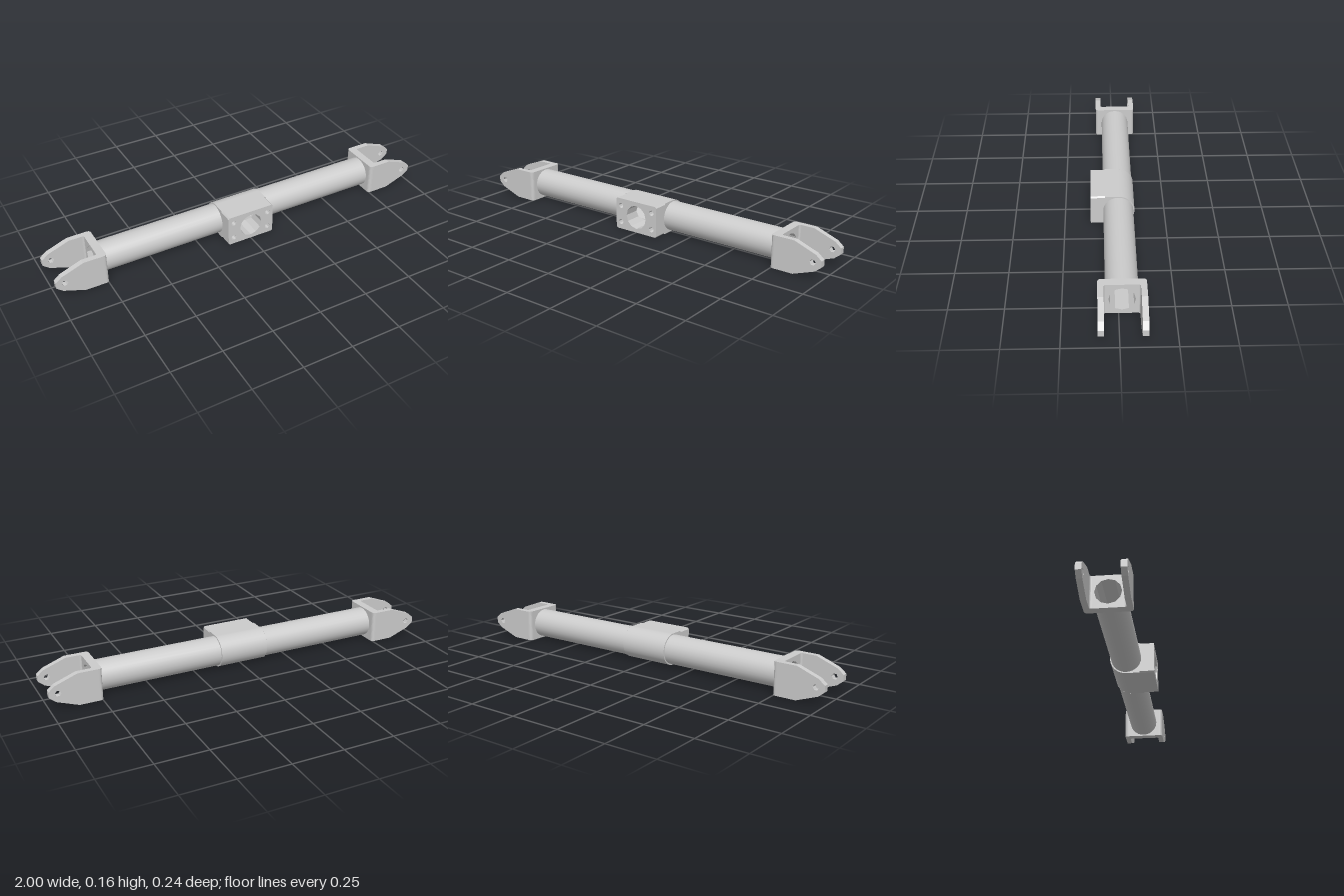
import * as THREE from 'three';

const BORE = 0.06, TUBE = 0.074, H = 0.08, WEB = 0.745, SEG = 12;

const flat = new THREE.MeshStandardMaterial({ color: 0xcccccc, flatShading: true });
const shell = new THREE.MeshStandardMaterial({ color: 0xcccccc, flatShading: true, side: THREE.DoubleSide });
const smooth = new THREE.MeshStandardMaterial({ color: 0xcccccc });

const polygon = (pts) => new THREE.Shape(pts.map(([x, y]) => new THREE.Vector2(x, y)));
const extrude = (shape, depth) =>
  new THREE.ExtrudeGeometry(shape, { depth, bevelEnabled: false, curveSegments: 5 });

// Regular polygonal hole
function hole(r, n, cx = 0, cy = 0) {
  const pts = [];
  for (let i = 0; i < n; i++) {
    const a = (i / n) * Math.PI * 2;
    pts.push(new THREE.Vector2(cx + r * Math.cos(a), cy + r * Math.sin(a)));
  }
  return new THREE.Path(pts);
}

function add(parent, name, geometry, material = flat) {
  const mesh = new THREE.Mesh(geometry, material);
  mesh.name = name;
  parent.add(mesh);
  return mesh;
}

// Moves the two rims of an open cylinder by a rule
function moveRims(geometry, rule) {
  const p = geometry.attributes.position;
  for (let i = 0; i < p.count; i++) {
    p.setXYZ(i, ...rule(p.getX(i), p.getY(i) > 0, p.getZ(i)));
  }
  geometry.computeVertexNormals();
  return geometry;
}

// One half: tube, bore and fork, pointing to +x
function makeHalf(name) {
  const half = new THREE.Group();
  half.name = name;

  const length = WEB - 0.12 + 0.01;
  add(half, 'tube', new THREE.CylinderGeometry(TUBE, TUBE, length, 28, 1, true)
    .rotateZ(-Math.PI / 2).translate(0.12 + length / 2, 0, 0), smooth);

  // The bore starts where the front port cuts into it
  add(half, 'bore', moveRims(new THREE.CylinderGeometry(BORE, BORE, 1, SEG, 1, true),
    (x, far, z) => [far ? WEB : Math.max(0, z), x, z]), shell);

  // Fork web with the bore opening
  const web = polygon([[-0.07, -H], [0.07, -H], [0.07, H], [-0.07, H]]);
  web.holes.push(hole(BORE, SEG));
  add(half, 'forkWeb', extrude(web, 0.041).rotateY(Math.PI / 2).translate(WEB, 0, 0));

  for (const s of [-1, 1]) {
    // Rounded corner between web and arm
    const corner = new THREE.Shape();
    corner.moveTo(WEB, s * 0.07);
    corner.lineTo(WEB, s * 0.089);
    corner.quadraticCurveTo(WEB, s * 0.107, WEB + 0.018, s * 0.107);
    corner.lineTo(0.8, s * 0.107);
    corner.lineTo(0.8, s * 0.08);
    corner.lineTo(0.796, s * 0.08);
    corner.quadraticCurveTo(0.786, s * 0.08, 0.786, s * 0.07);
    add(half, 'forkCorner', extrude(corner, 2 * H).rotateX(Math.PI / 2).translate(0, H, 0));

    // Tapered arm with pin hole
    const arm = polygon([[0.8, -H], [0.862, -H], [0.97, -0.04], [1, -0.015],
      [1, 0.015], [0.97, 0.04], [0.862, H], [0.8, H]]);
    arm.holes.push(hole(0.015, 6, 0.957, 0));
    add(half, 'forkArm', extrude(arm, 0.027).translate(0, 0, s > 0 ? 0.08 : -0.107));
  }
  return half;
}

// Central collar: rounded back, square mounting block in front
function makeCollar() {
  const collar = new THREE.Group();
  collar.name = 'collar';
  const w = 0.125, c = 0.007, front = 0.137, back = 0.065;

  const face = polygon([[-w + c, -H], [w - c, -H], [w, -H + c], [w, H - c],
    [w - c, H], [-w + c, H], [-w, H - c], [-w, -H + c]]);
  face.holes.push(hole(BORE, SEG));
  for (const x of [-0.095, 0.095]) {
    for (const y of [-0.043, 0.043]) {
      face.holes.push(hole(0.014, 8, x, y));
      add(collar, 'boltHoleFloor', new THREE.CircleGeometry(0.016, 8).translate(x, y, back + 0.005));
    }
  }
  add(collar, 'mountingBlock', extrude(face, front - back).translate(0, 0, back));

  // Port wall continuing down to the bore
  add(collar, 'portWall', moveRims(new THREE.CylinderGeometry(BORE, BORE, 1, SEG, 1, true),
    (x, far, z) => [x, z, far ? back : Math.abs(x)]), shell);

  // Rounded back and flat top and bottom
  add(collar, 'collarBack', new THREE.CylinderGeometry(H, H, 2 * w, 16, 1, true, Math.PI / 2, Math.PI)
    .rotateZ(Math.PI / 2), smooth);
  for (const s of [-1, 1]) {
    add(collar, s > 0 ? 'collarTop' : 'collarBottom',
      new THREE.PlaneGeometry(2 * w, back).rotateX(-s * Math.PI / 2).translate(0, s * H, back / 2), shell);
  }

  // End faces
  const end = new THREE.Shape();
  end.moveTo(-back, -H);
  end.lineTo(0, -H);
  end.absarc(0, 0, H, -Math.PI / 2, Math.PI / 2);
  end.lineTo(-back, H);
  end.holes.push(hole(BORE + 0.003, SEG));
  for (const s of [-1, 1]) {
    add(collar, 'collarEnd', new THREE.ShapeGeometry(end, 16)
      .rotateY(Math.PI / 2).translate(s * w, 0, 0), shell);
  }
  return collar;
}

export function createModel() {
  const model = new THREE.Group();
  model.name = 'axleHousing';
  const body = new THREE.Group();
  body.name = 'body';
  body.position.set(0, H, -0.015);
  const right = makeHalf('rightHalf');
  right.traverse((o) => { if (o.isMesh) o.geometry.scale(-1, 1, 1); });
  // Mirroring flips the faces, so reverse each triangle
  right.traverse((o) => {
    if (!o.isMesh) return;
    const g = o.geometry.index ? o.geometry.toNonIndexed() : o.geometry;
    for (const a of Object.values(g.attributes)) {
      const n = a.itemSize, d = a.array;
      for (let i = 0; i < d.length; i += 3 * n) {
        for (let k = 0; k < n; k++) [d[i + k], d[i + n + k]] = [d[i + n + k], d[i + k]];
      }
    }
    o.geometry = g;
  });
  body.add(makeHalf('leftHalf'), right, makeCollar());
  model.add(body);
  return model;
}
